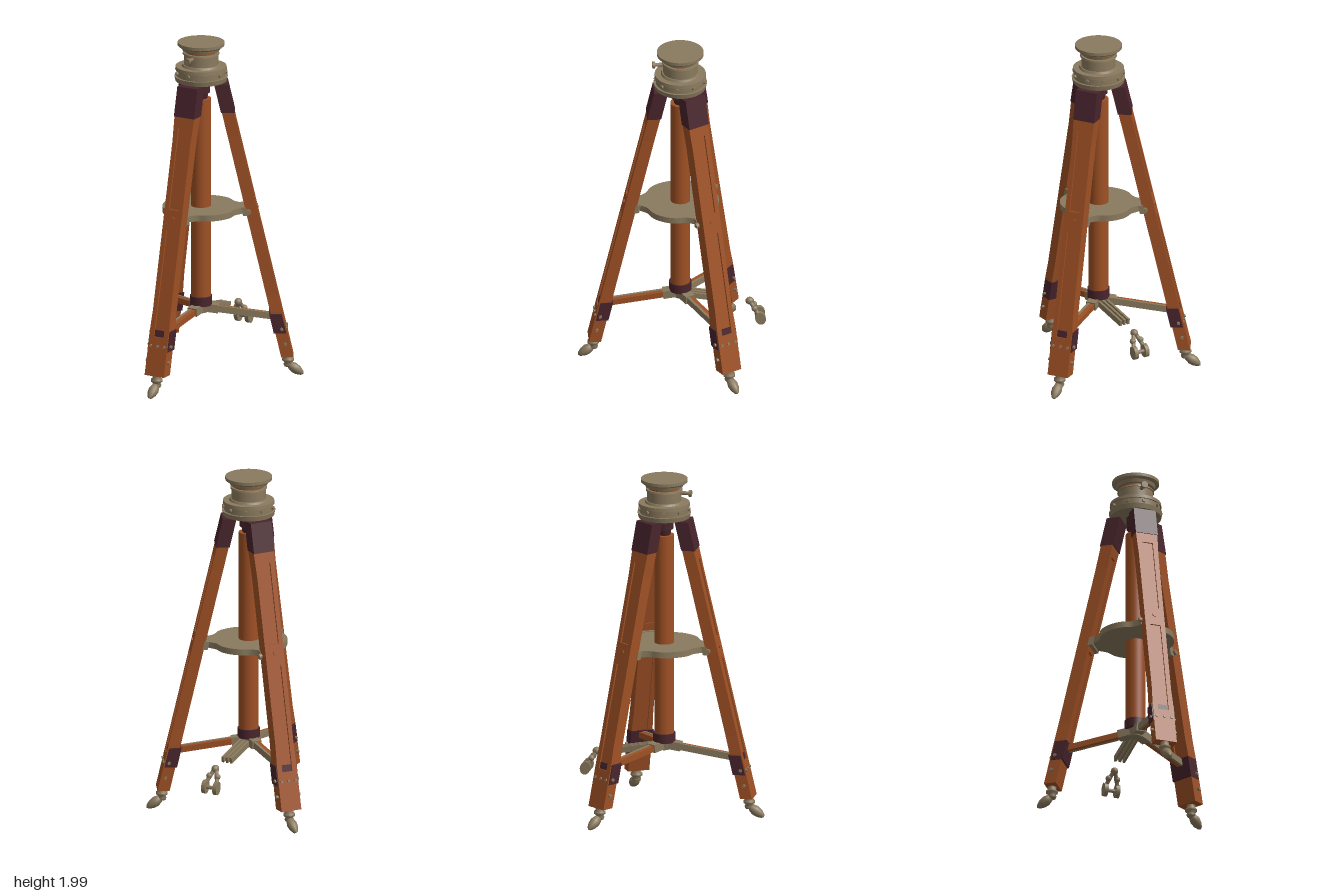
import * as THREE from 'three';

const mat = (name, color) => new THREE.MeshStandardMaterial({ name, color });
const wood = mat('wood', 0x9e5024);
const metal = mat('metal', 0x8a7a5e);
const leather = mat('darkLeather', 0x48242c);

const CX = -0.0125, CZ = -0.053;            // central axis
const LEGS = [0, 2.11, -2.19];              // leg headings about y
const SLOPE = 0.233, BASE = 0.525;          // leg axis: radius = BASE - SLOPE * y

function add(parent, name, geo, material, x = 0, y = 0, z = 0) {
  const m = new THREE.Mesh(geo, material);
  m.name = name;
  m.position.set(x, y, z);
  parent.add(m);
  return m;
}
const box = (w, h, d) => new THREE.BoxGeometry(w, h, d);
const cyl = (rt, rb, h, n = 32) => new THREE.CylinderGeometry(rt, rb, h, n);

// Slides a geometry along the sloping leg axis, keeping cuts horizontal
const lean = (geo, x, y, z) => geo.translate(x, y, z)
  .applyMatrix4(new THREE.Matrix4().set(1, 0, 0, 0, 0, 1, 0, 0, 0, -SLOPE, 1, BASE, 0, 0, 0, 1));

// Stack of turned rings: [bottom y, top y, bottom radius, top radius, material]
function stack(parent, name, rings) {
  for (const [y0, y1, r0, r1, m] of rings)
    add(parent, name, cyl(r1, r0, y1 - y0, 40), m, 0, (y0 + y1) / 2, 0);
}

// Box bar running between two points
function bar(parent, name, a, b, w, h, m) {
  const p = new THREE.Vector3(...a), q = new THREE.Vector3(...b);
  const mesh = add(parent, name, box(w, h, p.distanceTo(q)), m);
  mesh.position.copy(p).lerp(q, 0.5);
  mesh.rotation.x = -Math.atan2(q.y - p.y, q.z - p.z);
  return mesh;
}

function makeLeg() {
  const g = new THREE.Group();
  // Wooden board with two sunken panels
  const board = new THREE.Shape([
    [-0.064, 0.13], [0.064, 0.13], [0.063, 0.4], [0.059, 0.5], [0.06, 1.45], [0.066, 1.6],
    [0.062, 1.76], [-0.062, 1.76], [-0.066, 1.6], [-0.06, 1.45], [-0.059, 0.5], [-0.063, 0.4],
  ].map(p => new THREE.Vector2(...p)));
  for (const [lo, hi] of [[0.35, 0.95], [1.07, 1.53]]) {
    board.holes.push(new THREE.Path([[-0.032, lo], [-0.032, hi], [0.032, hi], [0.032, lo]]
      .map(p => new THREE.Vector2(...p))));
    add(g, 'sunkenPanel', lean(box(0.066, hi - lo + 0.01, 0.05), 0, (lo + hi) / 2, 0), wood);
  }
  add(g, 'legBoard', lean(new THREE.ExtrudeGeometry(board, { depth: 0.07, bevelEnabled: false }), 0, 0, -0.035), wood);

  // Leather cuffs
  add(g, 'topCuff', lean(box(0.134, 0.17, 0.08), 0, 1.677, 0), leather);
  add(g, 'lowerCuff', lean(box(0.136, 0.115, 0.072), 0, 0.33, -0.008), leather);

  // Shelf clamp with side knob
  add(g, 'shelfClamp', lean(box(0.128, 0.05, 0.03), 0, 1.0, -0.042), metal);
  add(g, 'clampKnob', lean(cyl(0.014, 0.014, 0.02, 12).rotateZ(Math.PI / 2), -0.068, 1.0, -0.02), metal);

  // Bolts
  for (const x of [-0.045, 0, 0.045])
    add(g, 'faceBolt', lean(cyl(0.008, 0.008, 0.014, 10).rotateX(Math.PI / 2), x, 0.3, 0.036), metal);
  add(g, 'middleBolt', lean(cyl(0.013, 0.013, 0.012, 12).rotateX(Math.PI / 2), 0, 1.02, 0.035), wood);
  for (const s of [-1, 1]) for (const y of [0.3, 0.21])
    add(g, 'sideBolt', lean(cyl(0.009, 0.009, 0.022, 10).rotateZ(Math.PI / 2), s * 0.067, y, 0.008), metal);

  // Foot: turned neck and pointed claw
  add(g, 'footNeck', new THREE.LatheGeometry([[0, 0.055], [0.022, 0.06], [0.027, 0.072], [0.021, 0.084],
    [0.034, 0.094], [0.034, 0.106], [0.024, 0.115], [0.026, 0.135]].map(p => new THREE.Vector2(...p)), 20),
    metal, 0, 0, 0.5);
  const claw = new THREE.LatheGeometry([[0, 0], [0.014, 0.01], [0.026, 0.036], [0.03, 0.065],
    [0.022, 0.095], [0, 0.105]].map(p => new THREE.Vector2(...p)), 16);
  claw.rotateX(-0.95).translate(0, 0.012, 0.588);
  const p = claw.attributes.position;
  for (let i = 0; i < p.count; i++) p.setY(i, Math.max(0, p.getY(i)));
  claw.computeVertexNormals();
  add(g, 'footClaw', claw, metal);

  // Spreader arm: wooden rail with metal strap alongside
  bar(g, 'spreaderRail', [0.008, 0.415, 0.03], [0.008, 0.362, 0.405], 0.026, 0.034, wood);
  bar(g, 'spreaderStrap', [-0.012, 0.416, 0.03], [-0.012, 0.363, 0.405], 0.016, 0.038, metal);
  bar(g, 'spreaderSocket', [0, 0.417, 0.02], [0, 0.406, 0.1], 0.058, 0.048, metal);
  return g;
}

// Three-lobed shelf reaching out to the legs
function makeShelf() {
  const pts = [];
  for (let i = 0; i < 120; i++) {
    const t = i / 120 * Math.PI * 2;
    let r = 0.222;
    for (const a of LEGS) {
      const d = Math.atan2(Math.sin(t - a), Math.cos(t - a));
      r += 0.05 * Math.exp(-((d / 0.26) ** 2)) - 0.012 * Math.exp(-(((Math.abs(d) - 0.45) / 0.2) ** 2));
    }
    pts.push(new THREE.Vector2(Math.sin(t) * r, Math.cos(t) * r));
  }
  return new THREE.ExtrudeGeometry(new THREE.Shape(pts), { depth: 0.036, bevelEnabled: false }).rotateX(Math.PI / 2);
}

// Loose shackle behind the stand: ball, two splayed arms, discs and a crossbar
function makeShackle() {
  const g = new THREE.Group();
  g.name = 'shackle';
  add(g, 'shackleBall', new THREE.SphereGeometry(0.025, 16, 12).scale(0.85, 0.9, 1), metal, 0, 0.346, -0.452);
  for (const s of [-1, 1]) {
    const path = new THREE.LineCurve3(new THREE.Vector3(s * 0.008, 0.338, -0.458), new THREE.Vector3(s * 0.034, 0.275, -0.498));
    add(g, 'shackleArm', new THREE.TubeGeometry(path, 1, 0.012, 10), metal);
    add(g, 'shackleKnuckle', new THREE.SphereGeometry(0.018, 12, 10), metal, s * 0.026, 0.308, -0.478);
    const disc = add(g, 'shackleDisc', cyl(0.034, 0.034, 0.024, 20).rotateZ(Math.PI / 2).scale(1, 1.15, 0.9), metal, s * 0.036, 0.25, -0.511);
    disc.rotation.x = 0.3;
  }
  add(g, 'shackleBar', cyl(0.011, 0.011, 0.07, 12).rotateZ(Math.PI / 2), metal, 0, 0.25, -0.513);
  return g;
}

export function createModel() {
  const model = new THREE.Group();
  model.name = 'tripodStand';
  const core = new THREE.Group();
  core.name = 'core';
  core.position.set(CX, 0, CZ);
  model.add(core);

  LEGS.forEach((a, i) => {
    const leg = makeLeg();
    leg.name = ['frontLeg', 'backLeftLeg', 'backRightLeg'][i];
    leg.rotation.y = a;
    core.add(leg);
  });

  // Central column with its end fittings
  stack(core, 'column', [
    [0.385, 0.435, 0.035, 0.045, metal], [0.43, 0.485, 0.064, 0.064, leather],
    [0.48, 1.665, 0.057, 0.057, wood], [1.66, 1.7, 0.035, 0.042, leather],
    [1.7, 1.78, 0.052, 0.052, leather],
  ]);

  // Turned head
  stack(core, 'head', [
    [1.772, 1.8, 0.148, 0.154, metal], [1.8, 1.838, 0.141, 0.141, metal],
    [1.838, 1.858, 0.149, 0.147, metal], [1.858, 1.87, 0.112, 0.106, metal],
    [1.87, 1.93, 0.099, 0.099, metal], [1.93, 1.94, 0.106, 0.104, metal],
    [1.94, 1.956, 0.09, 0.09, wood], [1.954, 1.974, 0.108, 0.114, metal],
    [1.974, 1.982, 0.125, 0.134, metal], [1.982, 2.0, 0.135, 0.135, metal],
  ]);
  for (let i = 0; i < 9; i++) {
    const a = i / 9 * Math.PI * 2;
    const bolt = add(core, 'headBolt', cyl(0.011, 0.011, 0.016, 10).rotateX(Math.PI / 2), metal,
      Math.sin(a) * 0.144, 1.822, Math.cos(a) * 0.144);
    bolt.rotation.y = a;
  }
  add(core, 'lockScrew', cyl(0.011, 0.011, 0.06, 12).rotateX(Math.PI / 2), metal, 0, 1.918, 0.12);
  add(core, 'lockScrewHead', cyl(0.02, 0.02, 0.016, 14).rotateX(Math.PI / 2), metal, 0, 1.918, 0.153);

  add(core, 'shelf', makeShelf(), metal, 0, 1.022, 0);

  // Three prongs reaching back from the hub
  for (const x of [-0.026, 0, 0.026])
    bar(core, 'hubProng', [x, 0.415, 0], [x, 0.365, -0.28], 0.014, 0.034, metal);

  model.add(makeShackle());
  return model;
}
